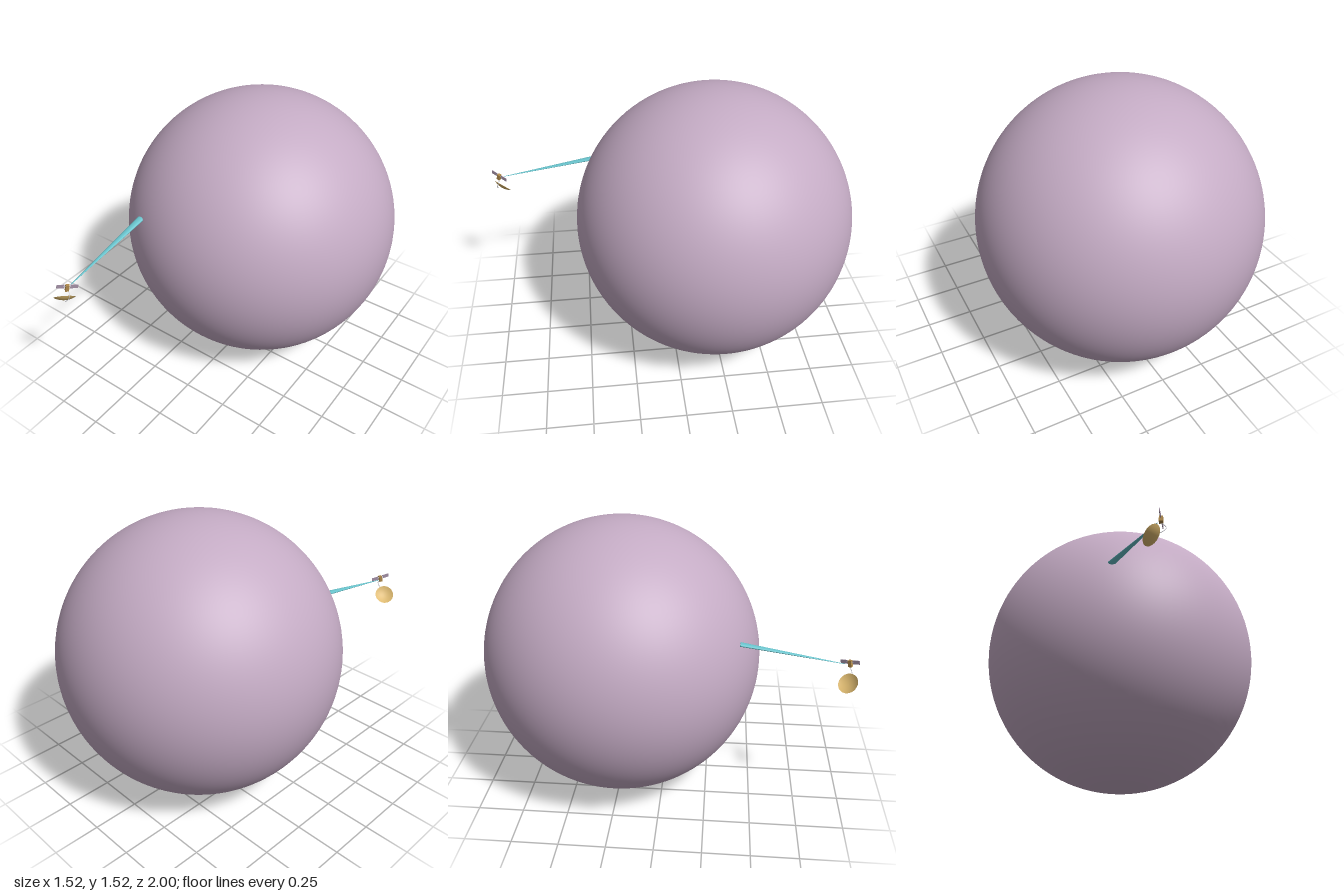
import * as THREE from 'three';

const mat = (name, color, side = THREE.FrontSide) => {
  const m = new THREE.MeshStandardMaterial({ color, side });
  m.name = name;
  return m;
};
const V = (x, y, z) => new THREE.Vector3(x, y, z);

export function createModel() {
  const root = new THREE.Group();
  const mauve = mat('mauve', 0xc4abc4);
  const teal = mat('teal', 0x68c3cc);
  const gold = mat('gold', 0xdeba70, THREE.DoubleSide);
  const bronze = mat('bronze', 0xb08a4c);
  const panelGrey = mat('panelGrey', 0xa592a8);
  const silver = mat('silver', 0xc8c8d0);

  const add = (parent, name, geometry, material, pos) => {
    const mesh = new THREE.Mesh(geometry, material);
    mesh.name = name;
    if (pos) mesh.position.copy(pos);
    parent.add(mesh);
    return mesh;
  };

  // Planet
  add(root, 'planet', new THREE.SphereGeometry(0.762, 96, 64), mauve, V(0, 0.764, -0.238));

  // Signal beam: flattened cone widening from the satellite to the planet surface
  const tip = V(-0.331, 0.912, 0.93), foot = V(-0.333, 1.0, 0.405);
  const beam = add(root, 'signalBeam',
    new THREE.CylinderGeometry(0.02, 0.002, tip.distanceTo(foot), 24),
    teal, tip.clone().lerp(foot, 0.5));
  const along = foot.clone().sub(tip).normalize();
  const across = V(1, 0, 0).addScaledVector(along, -along.x).normalize();
  beam.quaternion.setFromRotationMatrix(
    new THREE.Matrix4().makeBasis(across, along, across.clone().cross(along)));
  beam.scale.z = 0.45;

  // Satellite: local x runs along the panels, local z is their face normal
  const sat = new THREE.Group();
  sat.name = 'satellite';
  sat.position.set(-0.326, 0.921, 0.956);
  const ax = V(0.058, -0.026, -0.08).normalize();
  const az = V(0.08, 0, 0.058).normalize();
  sat.quaternion.setFromRotationMatrix(
    new THREE.Matrix4().makeBasis(ax, az.clone().cross(ax), az));
  root.add(sat);

  add(sat, 'body', new THREE.BoxGeometry(0.018, 0.034, 0.018), bronze, V(0, -0.008, 0));
  const axle = add(sat, 'panelAxle', new THREE.CylinderGeometry(0.002, 0.002, 0.04, 8), silver);
  axle.rotation.z = Math.PI / 2;
  for (const s of [-1, 1]) {
    add(sat, s > 0 ? 'leftPanel' : 'rightPanel',
      new THREE.BoxGeometry(0.038, 0.02, 0.003), panelGrey, V(s * 0.033, 0, 0));
  }

  // Shallow dish opening towards the planet
  const profile = [];
  for (let i = 0; i <= 8; i++) {
    const r = 0.053 * i / 8;
    profile.push(new THREE.Vector2(r, 0.014 * (i / 8) ** 2 - 0.007));
  }
  const normal = V(-0.5, 0.66, -0.55).normalize();
  const dish = add(root, 'dish', new THREE.LatheGeometry(profile, 40), gold, V(-0.368, 0.819, 0.954));
  dish.quaternion.setFromUnitVectors(V(0, 1, 0), normal);

  // Thin bent arm joining body and dish
  const arm = new THREE.CatmullRomCurve3([
    V(-0.325, 0.898, 0.956), V(-0.308, 0.876, 0.966),
    V(-0.318, 0.85, 0.976), V(-0.342, 0.83, 0.972)]);
  add(root, 'dishArm', new THREE.TubeGeometry(arm, 16, 0.0015, 6), silver);

  return root;
}
